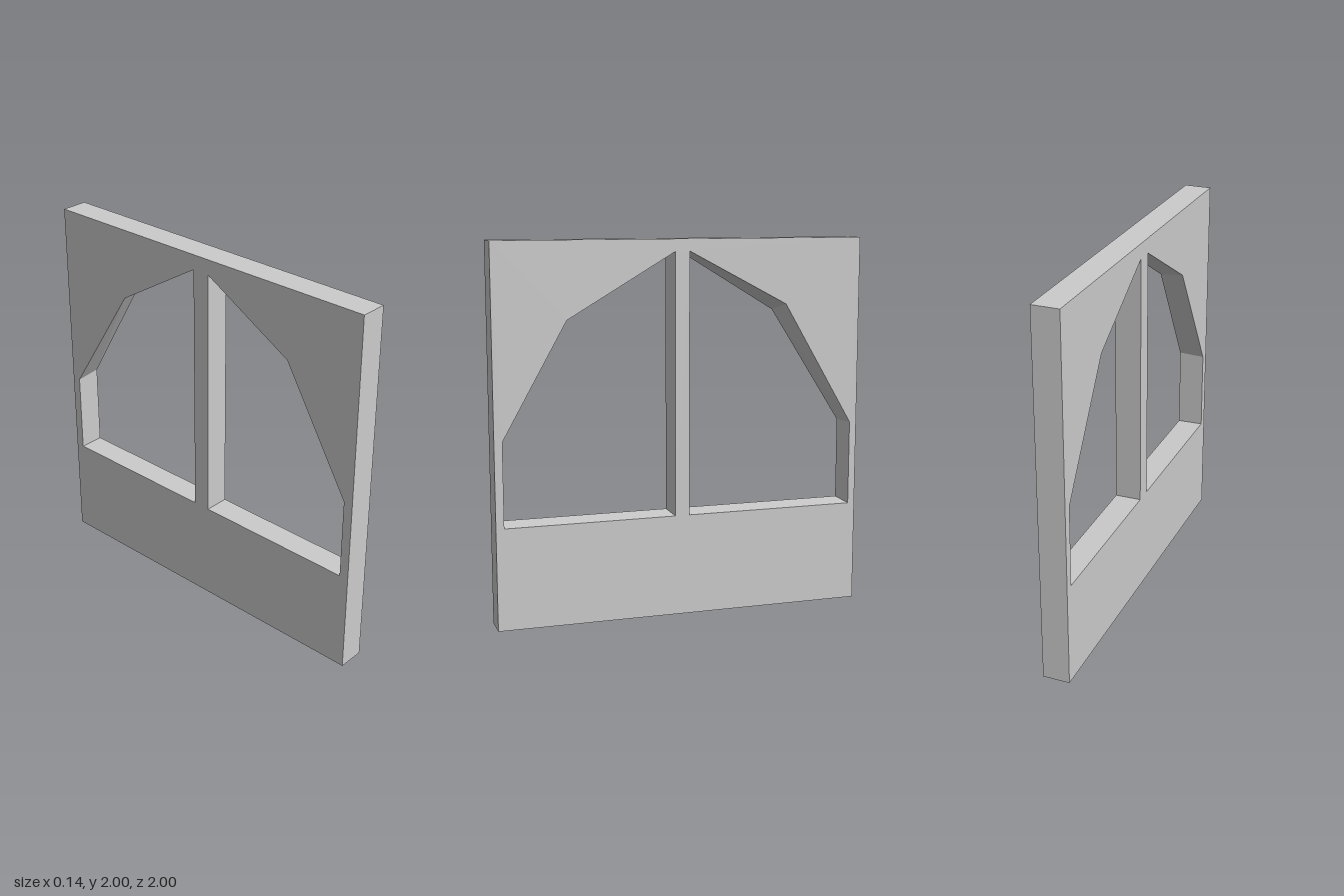
import * as THREE from 'three';

const HALF = 0.0725; // half the wall thickness

// Outlines in (u, y), where u = -z. Outer edge runs counter-clockwise, openings clockwise.
const edge = [[-1, 0], [1, 0], [1, 2], [-1, 2]];
// The openings taper slightly: larger on the +x face than on the -x face.
const wide = [
  edge,
  [[-0.957, 0.542], [-0.957, 0.992], [-0.615, 1.598], [-0.04, 1.935], [-0.04, 0.542]],
  [[0.038, 0.542], [0.038, 1.937], [0.577, 1.652], [0.962, 0.997], [0.962, 0.542]],
];
const narrow = [
  edge,
  [[-0.949, 0.55], [-0.949, 0.99], [-0.567, 1.628], [-0.048, 1.92], [-0.048, 0.55]],
  [[0.048, 0.55], [0.048, 1.92], [0.553, 1.614], [0.952, 0.99], [0.952, 0.55]],
];

function flatMesh(name, points) {
  const geometry = new THREE.BufferGeometry().setFromPoints(points);
  geometry.computeVertexNormals();
  const mesh = new THREE.Mesh(geometry,
    new THREE.MeshStandardMaterial({ color: 0xcccccc, flatShading: true }));
  mesh.name = name;
  return mesh;
}

const place = ([u, y], x) => new THREE.Vector3(x, y, -u);

// Flat wall face with its two openings
function wallFace(name, loops, x) {
  const [outer, ...holes] = loops.map(l => l.map(p => new THREE.Vector2(...p)));
  const corners = loops.flat();
  const points = [];
  for (const [a, b, c] of THREE.ShapeUtils.triangulateShape(outer, holes)) {
    for (const i of x > 0 ? [a, b, c] : [a, c, b]) points.push(place(corners[i], x));
  }
  return flatMesh(name, points);
}

// Band of quads joining the two faces along one outline
function band(name, front, back) {
  const points = [];
  front.forEach((p, i) => {
    const j = (i + 1) % front.length;
    const a = place(back[i], -HALF), b = place(back[j], -HALF);
    const c = place(front[j], HALF), d = place(p, HALF);
    points.push(a, b, c, a, c, d);
  });
  return flatMesh(name, points);
}

export function createModel() {
  const wall = new THREE.Group();
  wall.name = 'windowWall';
  wall.add(wallFace('leftFace', wide, HALF), wallFace('rightFace', narrow, -HALF));
  ['outerEdge', 'frontWindowReveal', 'backWindowReveal'].forEach((name, i) =>
    wall.add(band(name, wide[i], narrow[i])));
  return wall;
}
